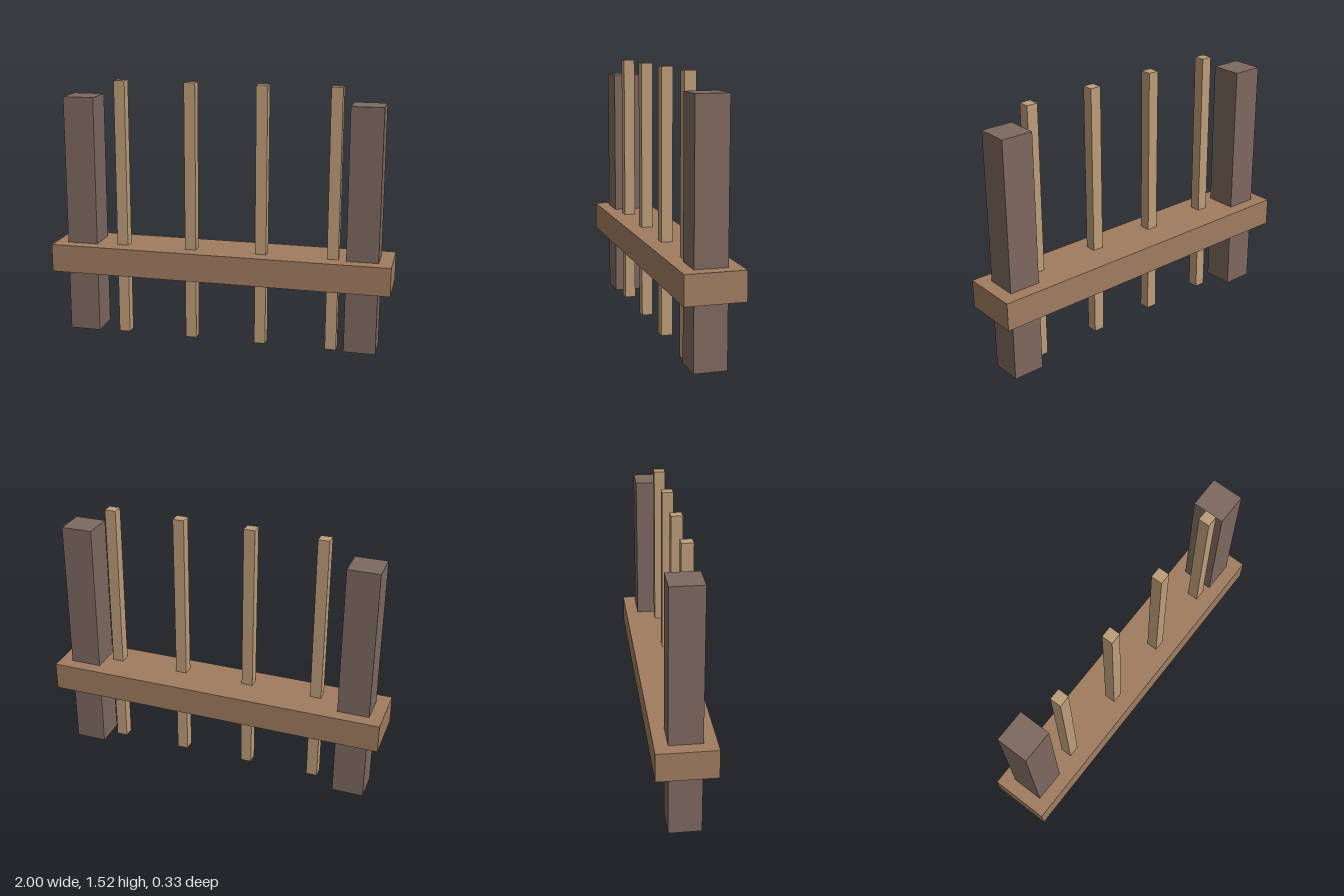
import * as THREE from 'three';

const postMat = new THREE.MeshStandardMaterial({ color: 0x7d685f });
const railMat = new THREE.MeshStandardMaterial({ color: 0xa07c60 });
const slatMat = new THREE.MeshStandardMaterial({ color: 0xbc9c78 });

// Box standing with its underside at height y
function block(name, material, [w, h, d], [x, y, z]) {
  const mesh = new THREE.Mesh(new THREE.BoxGeometry(w, h, d), material);
  mesh.name = name;
  mesh.position.set(x, y + h / 2, z);
  return mesh;
}

export function createModel() {
  const fence = new THREE.Group();
  fence.name = 'fenceSection';

  // Thick end posts
  for (const side of [-1, 1]) {
    const name = side > 0 ? 'leftPost' : 'rightPost';
    fence.add(block(name, postMat, [0.183, 1.417, 0.183], [side * 0.833, 0, 0]));
  }

  // Horizontal rail
  fence.add(block('rail', railMat, [2, 0.165, 0.333], [0, 0.378, 0]));

  // Thin upright slats, evenly spaced and set slightly forward
  for (let i = 0; i < 4; i++) {
    fence.add(block(`slat${i + 1}`, slatMat, [0.065, 1.517, 0.065], [-0.587 + i * 0.417, 0, 0.042]));
  }

  return fence;
}
